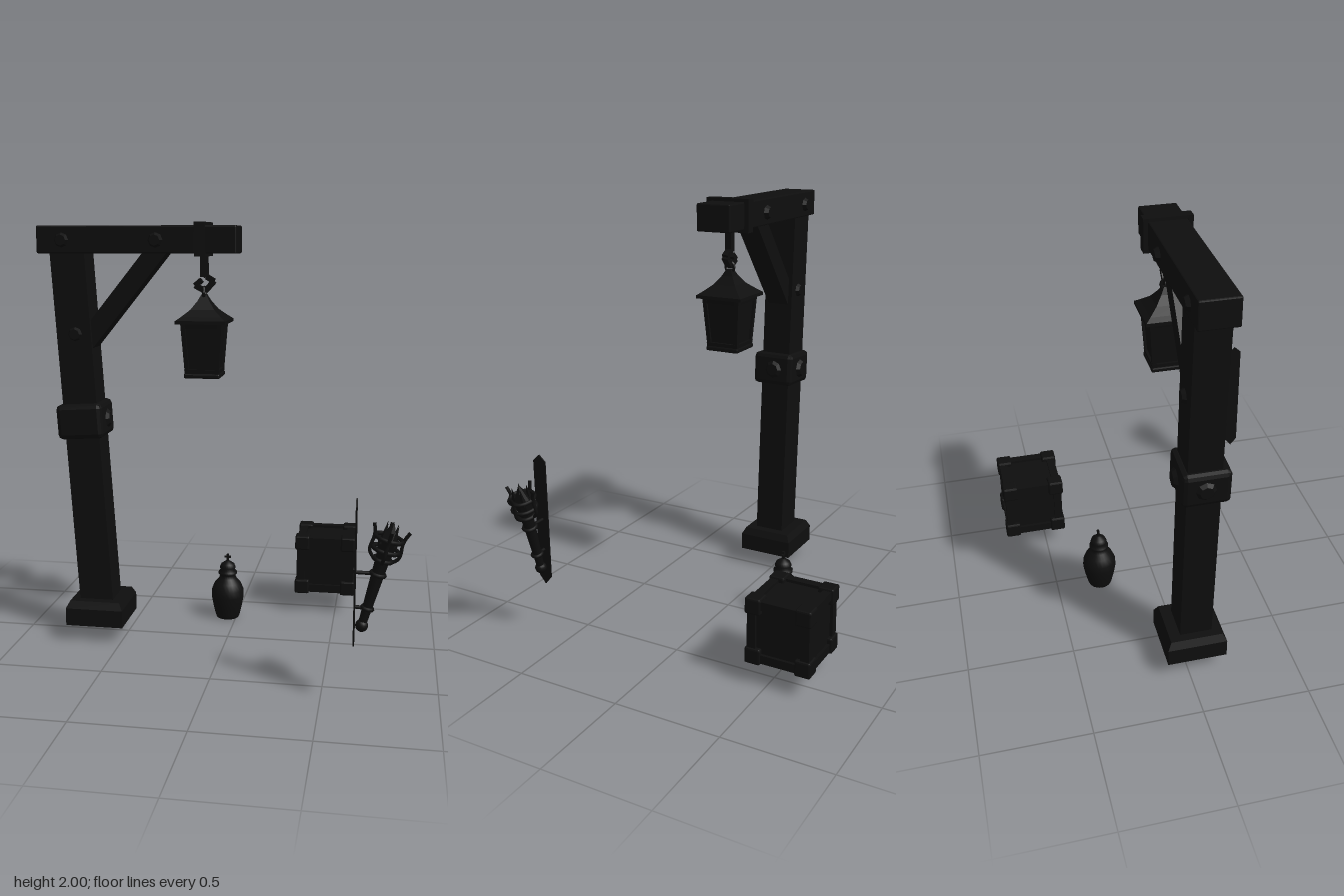
import * as THREE from 'three';
import { RoundedBoxGeometry } from 'three/addons/geometries/RoundedBoxGeometry.js';

const dark = new THREE.MeshStandardMaterial({ color: 0x0e0e0e, flatShading: true });
const darkSmooth = new THREE.MeshStandardMaterial({ color: 0x0e0e0e });
const darkThin = new THREE.MeshStandardMaterial({ color: 0x0e0e0e, side: THREE.DoubleSide });

function add(parent, name, geo, x = 0, y = 0, z = 0, mat = dark) {
  const m = new THREE.Mesh(geo, mat);
  m.name = name;
  m.position.set(x, y, z);
  parent.add(m);
  return m;
}

function group(parent, name, x, y, z) {
  const g = new THREE.Group();
  g.name = name;
  g.position.set(x, y, z);
  parent.add(g);
  return g;
}

const box = (w, h, d) => new THREE.BoxGeometry(w, h, d);
const bevelBox = (w, h, d, r) => new RoundedBoxGeometry(w, h, d, 1, r);

// Square frustum given by its half widths, standing on y = 0
function frustum(bottom, top, h) {
  const g = new THREE.CylinderGeometry(top * Math.SQRT2, bottom * Math.SQRT2, h, 4);
  return g.rotateY(Math.PI / 4).translate(0, h / 2, 0);
}

// Rectangular or round bar between two points
function bar(parent, name, a, b, w, d, round = false) {
  const p = new THREE.Vector3(...a), q = new THREE.Vector3(...b);
  const dir = q.clone().sub(p), len = dir.length();
  const geo = round ? new THREE.CylinderGeometry(d, w, len, 12) : box(w, len, d);
  const m = add(parent, name, geo, 0, 0, 0, round ? darkSmooth : dark);
  m.position.copy(p).add(q).multiplyScalar(0.5);
  m.quaternion.setFromUnitVectors(new THREE.Vector3(0, 1, 0), dir.normalize());
  return m;
}

// Domed nail head facing +z or -z
function nail(parent, x, y, z, side, r = 0.035) {
  const g = new THREE.CylinderGeometry(r * 0.7, r, 0.02, 8).rotateX(side * Math.PI / 2);
  return add(parent, 'nailHead', g, x, y, z);
}

function lampPost(root) {
  const post = group(root, 'lampPost', 0, 0, 0.042);

  // Stepped foot
  add(post, 'foot', box(0.28, 0.085, 0.28), -0.627, 0.1225, -0.005);
  add(post, 'footBevel', frustum(0.14, 0.122, 0.035), -0.627, 0.165, -0.005);

  // Leaning upright with its collar
  const lean = group(post, 'leaningUpright', -0.627, 0.17, 0);
  lean.rotation.z = 0.0605;
  add(lean, 'upright', box(0.163, 1.72, 0.15), 0, 0.86, 0);
  add(lean, 'collar', bevelBox(0.222, 0.165, 0.215, 0.022), 0, 0.912, 0.006);
  for (const s of [-1, 1]) {
    const stud = add(lean, 'collarStud', new THREE.CylinderGeometry(0.03, 0.05, 0.018, 8), s * 0.116, 0.912, 0);
    stud.rotation.z = -s * Math.PI / 2;
  }
  nail(lean, 0, 0.912, -0.109, -1, 0.05);

  // Cross beam and brace
  add(post, 'beam', bevelBox(0.93, 0.125, 0.17, 0.006), -0.405, 1.9225, 0.003);
  bar(post, 'brace', [-0.30, 1.89, 0], [-0.69, 1.41, 0], 0.088, 0.11);
  for (const s of [-1, 1]) {
    nail(post, -0.75, 1.92, 0.003 + s * 0.093, s);
    nail(post, -0.31, 1.92, 0.003 + s * 0.097, s);
    nail(post, -0.70, 1.49, s * 0.082, s);
  }

  // Strap wrapped over the beam
  for (const s of [-1, 1]) {
    add(post, 'strapSide', box(0.048, 0.15, 0.022), -0.104, 1.925, 0.005 + s * 0.097);
    add(post, 'strapPlate', box(0.048, 0.015, 0.215), -0.104, 1.9235 + s * 0.069, 0.005);
  }
}

function lantern(root) {
  const lamp = group(root, 'lantern', -0.101, 0, 0.045);

  // Crooked hook and eye
  bar(lamp, 'hanger', [0, 1.86, 0], [0, 1.755, 0], 0.036, 0.03);
  const hook = [[-0.004, 1.785], [0.012, 1.755], [0.045, 1.735], [0.004, 1.69], [-0.042, 1.715], [-0.012, 1.74]];
  for (let i = 1; i < hook.length; i++) {
    bar(lamp, 'hook', [...hook[i - 1], 0], [...hook[i], 0], 0.024, 0.03);
  }
  add(lamp, 'eye', new THREE.TorusGeometry(0.022, 0.008, 6, 12), 0, 1.685, 0).rotation.y = Math.PI / 2;

  // Swept four-sided roof
  const roof = [[0.012, 1.675], [0.028, 1.645], [0.056, 1.607], [0.092, 1.577], [0.115, 1.56]];
  for (let i = 1; i < roof.length; i++) {
    const [w0, y0] = roof[i], [w1, y1] = roof[i - 1];
    add(lamp, 'roof', frustum(w0, w1, y1 - y0), 0, y0, 0);
  }
  add(lamp, 'eaves', box(0.232, 0.015, 0.232), 0, 1.553, 0);

  // Tapered cage around the inset panes
  add(lamp, 'panes', frustum(0.068, 0.085, 0.23), 0, 1.315, 0);
  add(lamp, 'topRail', frustum(0.091, 0.095, 0.025), 0, 1.522, 0);
  add(lamp, 'bottomRail', frustum(0.079, 0.081, 0.018), 0, 1.317, 0);
  add(lamp, 'floor', bevelBox(0.166, 0.022, 0.166, 0.006), 0, 1.306, 0);
  for (const x of [-1, 1]) for (const z of [-1, 1]) {
    bar(lamp, 'cornerPost', [x * 0.068, 1.31, z * 0.068], [x * 0.085, 1.545, z * 0.085], 0.02, 0.02);
  }
}

function crate(root) {
  const c = group(root, 'crate', 0.445, 0.255, -0.555);
  add(c, 'panels', box(0.265, 0.265, 0.265));
  // Frame rails along the twelve edges
  for (const a of [-1, 1]) for (const b of [-1, 1]) {
    add(c, 'railX', box(0.27, 0.04, 0.04), 0, a * 0.126, b * 0.126);
    add(c, 'railY', box(0.04, 0.27, 0.04), a * 0.126, 0, b * 0.126);
    add(c, 'railZ', box(0.04, 0.04, 0.27), a * 0.126, b * 0.126, 0);
    for (const s of [-1, 1]) {
      add(c, 'cornerCap', bevelBox(0.074, 0.074, 0.074, 0.008), a * 0.118, b * 0.118, s * 0.118);
    }
  }
}

function bottle(root) {
  const b = group(root, 'bottle', -0.045, 0, -0.28);
  const outline = [[0, 0], [0.056, 0], [0.062, 0.015], [0.074, 0.065], [0.083, 0.115], [0.081, 0.15],
    [0.066, 0.185], [0.045, 0.208], [0.038, 0.225], [0.047, 0.232], [0.047, 0.243], [0.036, 0.252],
    [0.041, 0.265], [0.034, 0.283], [0.014, 0.297], [0, 0.3]];
  const geo = new THREE.LatheGeometry(outline.map(([r, y]) => new THREE.Vector2(r, y)), 24);
  add(b, 'jar', geo, 0, 0, 0, darkSmooth);
  add(b, 'crossUpright', box(0.01, 0.042, 0.01), 0, 0.314, 0);
  add(b, 'crossArm', box(0.032, 0.009, 0.01), 0, 0.32, 0);
}

function wallTorch(root) {
  const t = group(root, 'wallTorch', 0, 0, 0.63);

  // Thin back plate with pointed ends
  const s = new THREE.Shape([[-0.033, 0.29], [0, 0.25], [0.033, 0.29], [0.033, 0.86], [0, 0.89], [-0.033, 0.86]]
    .map(([x, y]) => new THREE.Vector2(x, y)));
  const plate = new THREE.ExtrudeGeometry(s, { depth: 0.006, bevelEnabled: false }).rotateY(Math.PI / 2);
  add(t, 'backPlate', plate, 0.633, 0, 0, darkThin);

  // Arms that hold the handle
  bar(t, 'upperArm', [0.636, 0.575, 0], [0.735, 0.573, 0], 0.008, 0.008, true);
  bar(t, 'lowerArm', [0.636, 0.425, 0], [0.69, 0.422, 0], 0.008, 0.008, true);

  // Tilted torch
  const g = group(t, 'torch', 0.668, 0.345, 0);
  g.rotation.z = -0.262;
  add(g, 'pommel', new THREE.SphereGeometry(0.027, 14, 10), 0, 0, 0, darkSmooth);
  bar(g, 'handle', [0, 0, 0], [0, 0.33, 0], 0.017, 0.031, true);
  for (const [y, r] of [[0.08, 0.022], [0.235, 0.029], [0.3, 0.037], [0.345, 0.055], [0.395, 0.058]]) {
    add(g, 'band', new THREE.TorusGeometry(r, 0.009, 6, 14).rotateX(Math.PI / 2), 0, y, 0, darkSmooth);
  }
  add(g, 'cup', new THREE.CylinderGeometry(0.046, 0.031, 0.08, 10), 0, 0.35, 0);
  add(g, 'wick', new THREE.ConeGeometry(0.043, 0.085, 6), 0, 0.425, 0);

  // Curved prongs and pointed shards around the head
  const path = new THREE.CatmullRomCurve3([[0.03, 0.29], [0.062, 0.325], [0.06, 0.385], [0.065, 0.415], [0.076, 0.442]]
    .map(([x, y]) => new THREE.Vector3(x, y, 0)));
  for (let i = 0; i < 4; i++) {
    const a = i * Math.PI / 2;
    add(g, 'prong', new THREE.TubeGeometry(path, 12, 0.008, 6), 0, 0, 0, darkSmooth).rotation.y = a;
    const shard = new THREE.ConeGeometry(0.016, 0.09, 4).translate(0.032, 0.415, 0);
    add(g, 'shard', shard).rotation.y = a + Math.PI / 4;
  }
}

export function createModel() {
  const root = new THREE.Group();
  root.name = 'lanternPostAndProps';
  lampPost(root);
  lantern(root);
  crate(root);
  bottle(root);
  wallTorch(root);
  return root;
}
